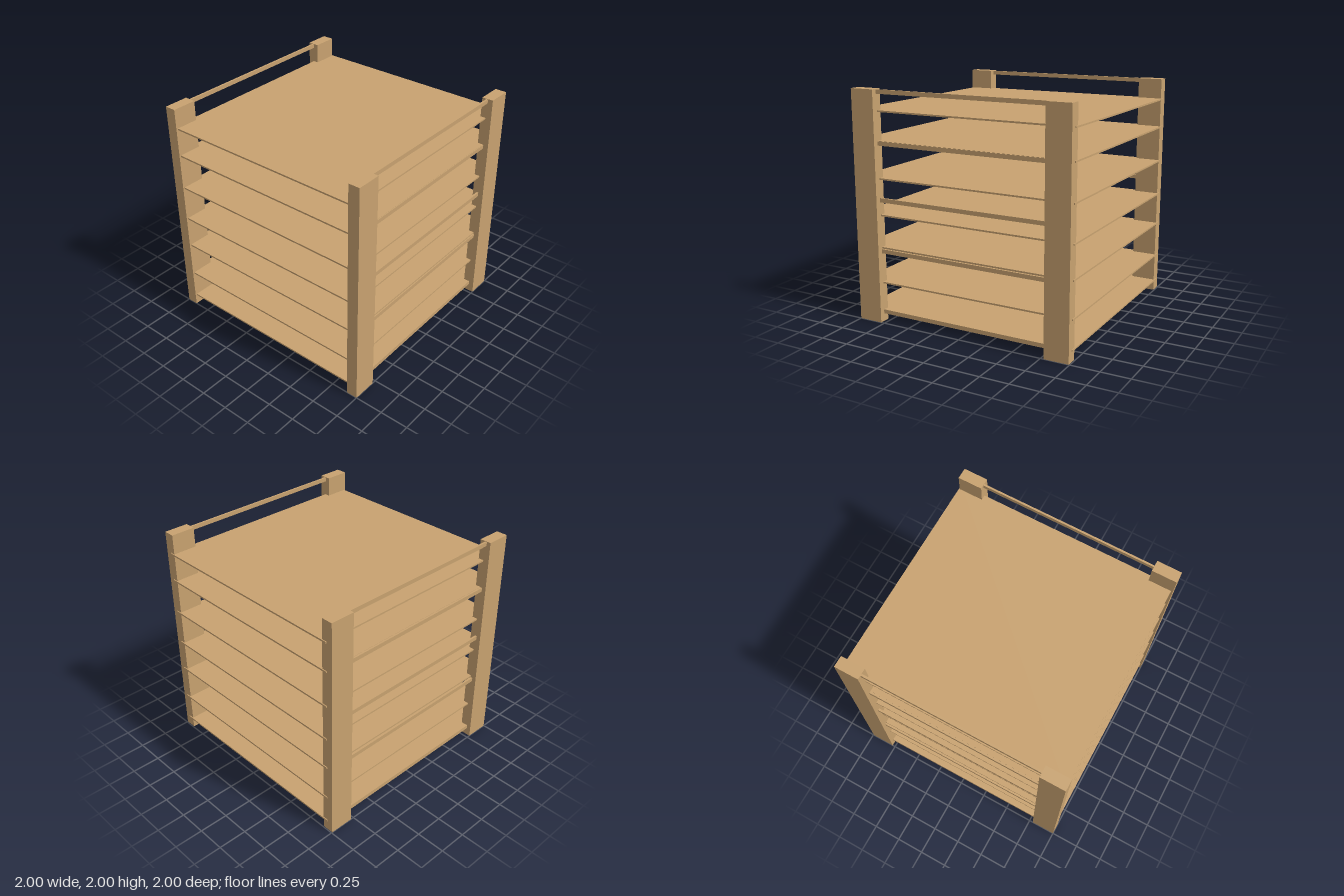
import * as THREE from 'three';

export function createModel() {
  const group = new THREE.Group();
  const wood = new THREE.MeshStandardMaterial({ color: 0xc8a270 });
  wood.name = 'wood';

  // Box given by its min and max corners
  function box(name, [x0, y0, z0], [x1, y1, z1]) {
    const mesh = new THREE.Mesh(new THREE.BoxGeometry(x1 - x0, y1 - y0, z1 - z0), wood);
    mesh.position.set((x0 + x1) / 2, (y0 + y1) / 2, (z0 + z1) / 2);
    mesh.name = name;
    group.add(mesh);
  }

  // Corner posts
  for (const [side, x] of [['left', 0.9], ['right', -1]]) {
    box(`${side}FrontPost`, [x, 0, 0.783], [x + 0.1, 2, 1]);
    box(`${side}BackPost`, [x, 0, -0.992], [x + 0.1, 2, -0.777]);
  }

  // Thin shelves, running slightly past the back of the posts
  [0.096, 0.346, 0.657, 0.94, 1.253, 1.566, 1.819].forEach((y, i) =>
    box(`shelf${i + 1}`, [-0.947, y - 0.007, -1], [0.947, y + 0.007, 0.985]));

  // Side rails between front and back posts
  [0.087, 0.628, 1.073, 1.553, 1.979].forEach((y, i) => {
    box(`leftRail${i + 1}`, [0.937, y - 0.018, -0.79], [0.954, y + 0.018, 0.79]);
    box(`rightRail${i + 1}`, [-0.964, y - 0.018, -0.79], [-0.946, y + 0.018, 0.79]);
  });

  return group;
}
